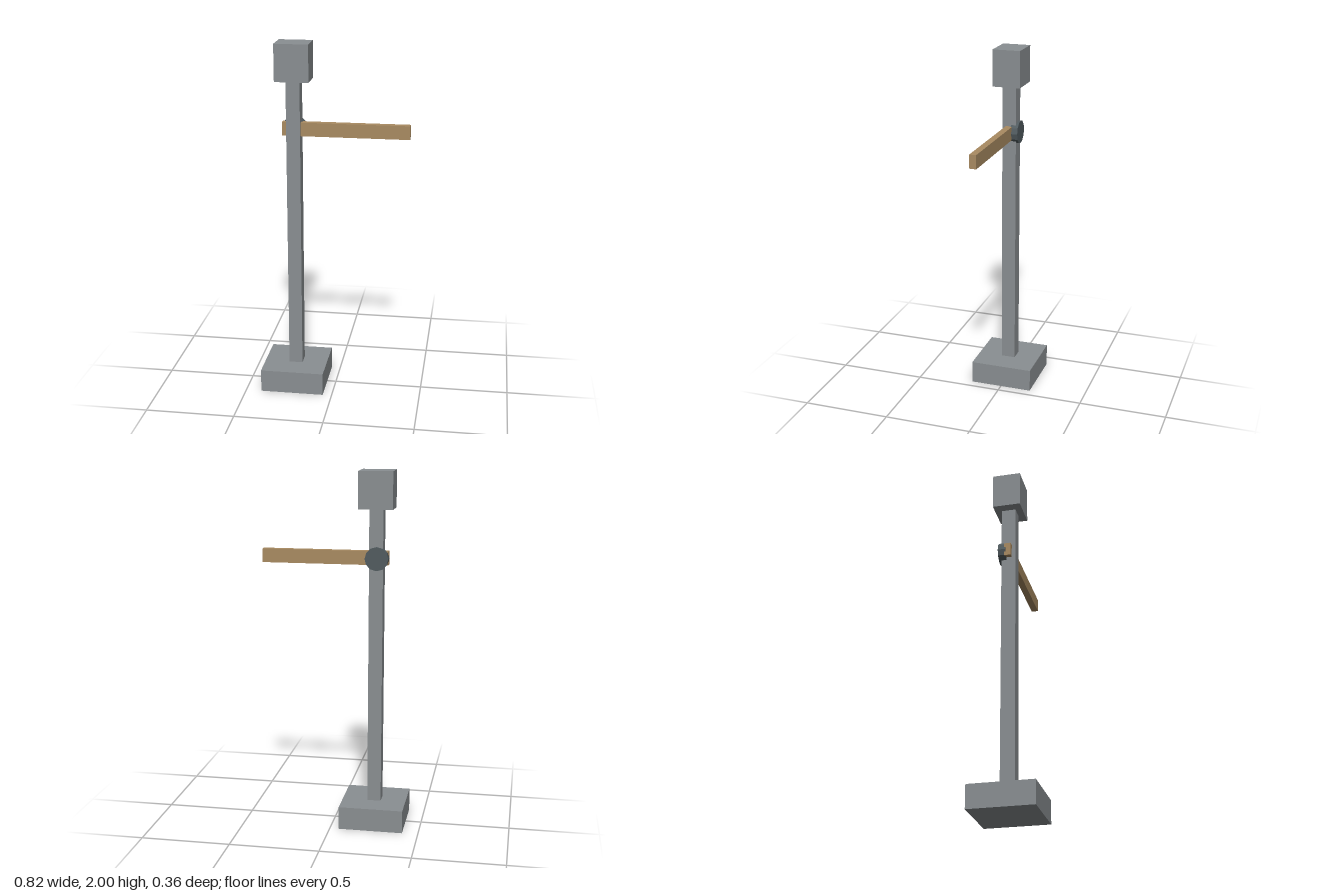
import * as THREE from 'three';

const mat = (name, color) => {
  const m = new THREE.MeshStandardMaterial({ color });
  m.name = name;
  return m;
};

export function createModel() {
  const group = new THREE.Group();
  group.name = 'barrierSignal';
  const metal = mat('greyMetal', 0x8a8f92);
  const wood = mat('paleWood', 0xa98b62);
  const iron = mat('darkIron', 0x525c60);
  const postX = -0.231;

  const add = (name, geometry, material, x, y, z) => {
    const mesh = new THREE.Mesh(geometry, material);
    mesh.name = name;
    mesh.position.set(x, y, z);
    group.add(mesh);
    return mesh;
  };
  const box = (name, material, w, h, d, x, y, z = 0) =>
    add(name, new THREE.BoxGeometry(w, h, d), material, x, y, z);

  // Upright: foot, post and head block
  box('base', metal, 0.36, 0.13, 0.36, postX, 0.065);
  box('post', metal, 0.077, 1.69, 0.08, postX, 0.965);
  box('head', metal, 0.188, 0.205, 0.157, postX, 1.8975);

  // Arm passing through the post
  box('arm', wood, 0.704, 0.076, 0.038, 0.056, 1.525);

  // Pivot disc on the back of the post
  const disc = new THREE.CylinderGeometry(0.065, 0.065, 0.043, 12);
  disc.rotateY(Math.PI / 2).rotateX(Math.PI / 2);
  const flatIron = iron;
  flatIron.flatShading = true;
  add('pivotDisc', disc, flatIron, postX - 0.004, 1.525, -0.033);

  return group;
}
